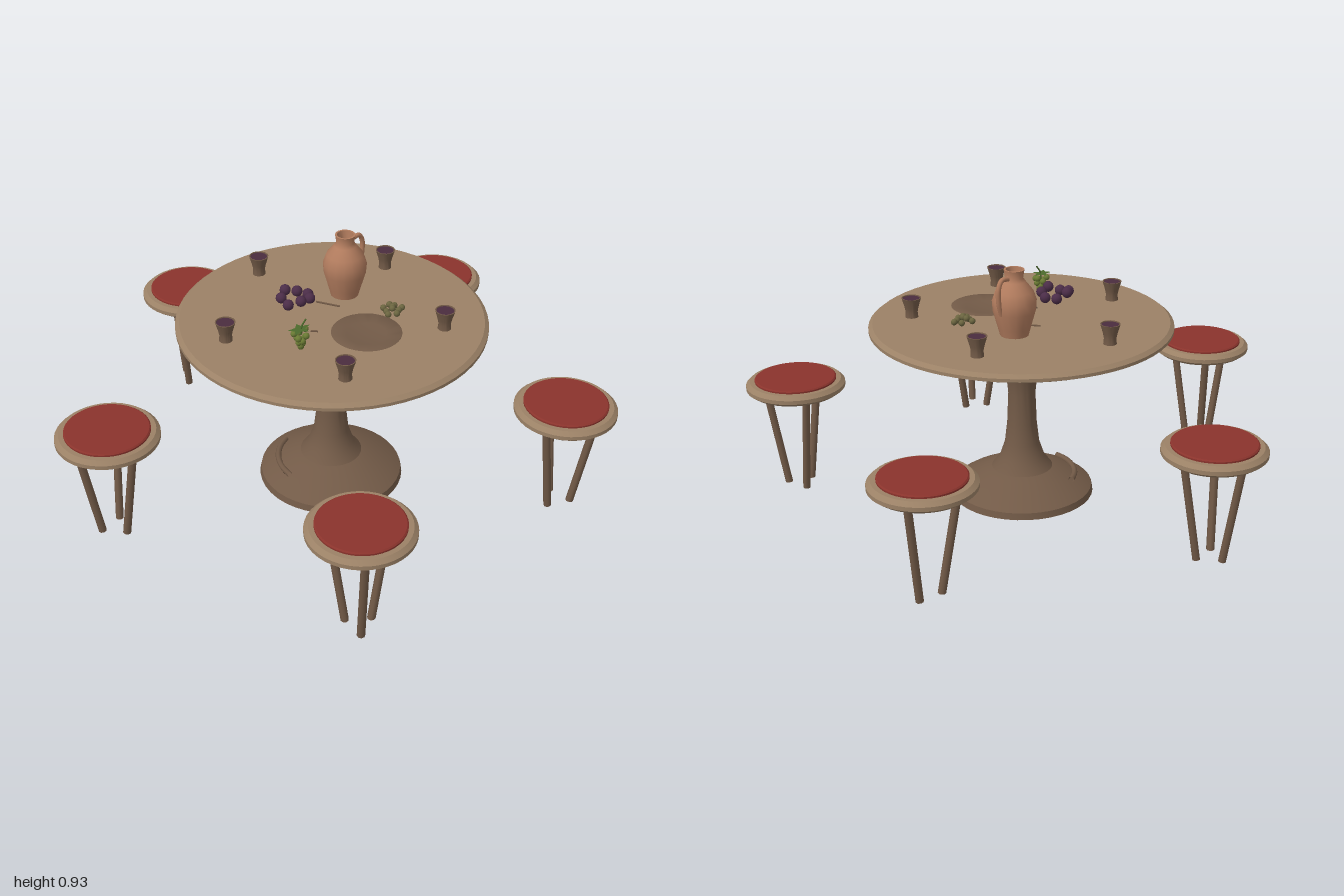
import * as THREE from 'three';
import { toCreasedNormals } from 'three/addons/utils/BufferGeometryUtils.js';

const mat = (name, color, side = THREE.FrontSide) => {
  const m = new THREE.MeshStandardMaterial({ color, side });
  m.name = name;
  return m;
};

export function createModel() {
  const model = new THREE.Group();
  model.name = 'tableSet';
  const paleWood = mat('paleWood', 0x9b8166);
  const darkWood = mat('darkWood', 0x725a47, THREE.DoubleSide);
  const red = mat('redCushion', 0x8a332c);
  const clay = mat('terracotta', 0xb27c5e, THREE.DoubleSide);
  const wine = mat('wine', 0x4a2c3f);
  const purple = mat('purpleGrape', 0x4b2d48);
  const green = mat('greenGrape', 0x6a7a34);
  const olive = mat('oliveFruit', 0x6b6540);
  const leafGreen = mat('leafGreen', 0x4c6a2c, THREE.DoubleSide);

  const add = (parent, name, geo, material, x = 0, y = 0, z = 0) => {
    const mesh = new THREE.Mesh(geo, material);
    mesh.name = name;
    mesh.position.set(x, y, z);
    parent.add(mesh);
    return mesh;
  };
  const group = (name, x, y, z, parent = model) => {
    const g = new THREE.Group();
    g.name = name;
    g.position.set(x, y, z);
    parent.add(g);
    return g;
  };
  const lathe = (pts, sides = 40, crease = 0.6) => toCreasedNormals(
    new THREE.LatheGeometry(pts.map(([r, y]) => new THREE.Vector2(r, y)), sides), crease);
  const tube = (pts, r, n = 16) => new THREE.TubeGeometry(
    new THREE.CatmullRomCurve3(pts.map(p => new THREE.Vector3(...p))), n, r, 8);

  // Round pedestal table
  const table = group('table', 0, 0, 0.075);
  add(table, 'tableTop', lathe([[0, 0.655], [0.535, 0.655], [0.56, 0.666], [0.56, 0.678],
    [0.545, 0.69], [0, 0.69]], 64), paleWood);
  add(table, 'pedestal', lathe([[0, 0], [0.27, 0], [0.265, 0.025], [0.235, 0.045], [0.14, 0.092],
    [0.115, 0.1], [0.085, 0.14], [0.065, 0.2], [0.056, 0.28], [0.051, 0.4], [0.06, 0.49],
    [0.085, 0.56], [0.11, 0.61], [0.122, 0.64], [0.122, 0.655], [0, 0.655]]), darkWood);
  add(table, 'underPanel', toCreasedNormals(
    new THREE.CylinderGeometry(0.44, 0.44, 0.012, 4, 1, false, -0.17), 0.5), darkWood, 0, 0.65, 0);

  // Curved piece resting on the foot
  const arc = Array.from({ length: 7 }, (_, i) => {
    const a = Math.PI + 0.05 + i * 0.2;
    return [Math.cos(a) * 0.2, 0.07, Math.sin(a) * 0.2];
  });
  add(table, 'footRing', tube(arc, 0.011, 24), darkWood);

  // Five stools and five cups, spaced evenly round the table
  const seatGeo = lathe([[0, 0.39], [0.168, 0.39], [0.185, 0.403], [0.185, 0.418], [0.17, 0.432], [0, 0.432]]);
  const cushionGeo = lathe([[0, 0.425], [0.152, 0.425], [0.152, 0.438], [0.147, 0.442], [0, 0.442]]);
  const legGeo = tube([[0, 0.4, 0.118], [0, 0.2, 0.085], [0, 0.002, 0.052]], 0.0145, 1);
  const footGeo = new THREE.CircleGeometry(0.0145, 8).rotateX(Math.PI / 2);
  const cupGeo = lathe([[0, 0], [0.024, 0], [0.022, 0.02], [0.026, 0.04], [0.036, 0.074],
    [0.032, 0.074], [0.03, 0.064]], 20);
  const wineGeo = new THREE.CircleGeometry(0.032, 20).rotateX(-Math.PI / 2);
  for (let i = 0; i < 5; i++) {
    const place = group('placeSetting', 0, 0, 0, table);
    place.rotation.y = Math.PI + i * Math.PI * 2 / 5;
    const stool = group('stool', 0, 0, 0.855, place);
    add(stool, 'seat', seatGeo, paleWood);
    add(stool, 'cushion', cushionGeo, red);
    for (let k = 0; k < 3; k++) {
      const leg = group('leg', 0, 0, 0, stool);
      leg.rotation.y = k * Math.PI * 2 / 3;
      add(leg, 'legPole', legGeo, darkWood);
      add(leg, 'legFoot', footGeo, darkWood, 0, 0.002, 0.052);
    }
    const cup = group('cup', 0, 0.69, 0.405, place);
    add(cup, 'cupBody', cupGeo, darkWood);
    add(cup, 'cupWine', wineGeo, wine, 0, 0.071, 0);
  }

  // Shallow dish
  add(model, 'dish', lathe([[0, 0.691], [0.07, 0.691], [0.125, 0.704], [0.122, 0.706],
    [0.07, 0.697], [0, 0.694]], 40, 1), darkWood, 0, 0, 0.255);

  // Jug with a side handle
  const jug = group('jug', 0.14, 0.69, -0.01);
  add(jug, 'jugBody', lathe([[0, 0], [0.052, 0], [0.06, 0.03], [0.077, 0.09], [0.08, 0.13],
    [0.068, 0.165], [0.04, 0.2], [0.032, 0.212], [0.037, 0.243], [0.03, 0.243], [0.026, 0.2],
    [0, 0.19]], 16, 0.9), clay);
  add(jug, 'jugHandle', tube([[0.034, 0.215, 0], [0.068, 0.217, 0], [0.084, 0.19, 0],
    [0.084, 0.14, 0], [0.07, 0.09, 0]], 0.009), clay);

  // Loose ring of purple grapes
  const grapeGeo = new THREE.SphereGeometry(0.02, 12, 8);
  const grapes = group('purpleGrapes', -0.108, 0.78, 0.003);
  for (let i = 0; i < 7; i++) {
    const a = i * Math.PI * 2 / 7 + 0.1;
    add(grapes, 'grape', grapeGeo, purple, Math.cos(a) * 0.053, (i % 3 - 1) * 0.008, Math.sin(a) * 0.05);
  }

  // Tapering bunch of green grapes with a leaf
  const bunch = group('greenBunch', -0.24, 0.7, 0.18);
  const berry = new THREE.SphereGeometry(0.012, 10, 7);
  for (let i = 0; i < 14; i++) {
    const t = i / 13, a = i * 2.4;
    add(bunch, 'berry', berry, green, Math.cos(a) * 0.026 * t, 0.012 + t * 0.058, Math.sin(a) * 0.026 * t);
  }
  add(bunch, 'stem', tube([[0, 0.06, 0], [0.004, 0.09, 0], [0.02, 0.115, 0.004]], 0.003), leafGreen);
  const leaf = new THREE.Shape();
  for (let i = 0; i < 10; i++) {
    const a = i * Math.PI / 5, r = i % 2 ? 0.022 : 0.045;
    leaf[i ? 'lineTo' : 'moveTo'](Math.cos(a) * r, Math.sin(a) * r * 0.75);
  }
  add(bunch, 'leaf', new THREE.ShapeGeometry(leaf).rotateX(-Math.PI / 2), leafGreen, -0.005, 0.083, 0);

  // Small flat cluster of olives
  const olives = group('olives', 0.175, 0.703, 0.205);
  for (let i = 0; i < 10; i++) {
    const a = i * 2.4, r = 0.013 * Math.sqrt(i);
    add(olives, 'oliveBerry', berry, olive, Math.cos(a) * r, i < 3 ? 0.012 : 0, Math.sin(a) * r);
  }

  // Twigs lying on the table
  [[0.04, 0.01, 0.09, -1.1], [-0.12, 0.115, 0.025, -0.8]].forEach(([x, z, len, turn]) => {
    add(model, 'twig', new THREE.BoxGeometry(len, 0.005, 0.006), darkWood, x, 0.692, z).rotation.y = turn;
  });
  return model;
}
